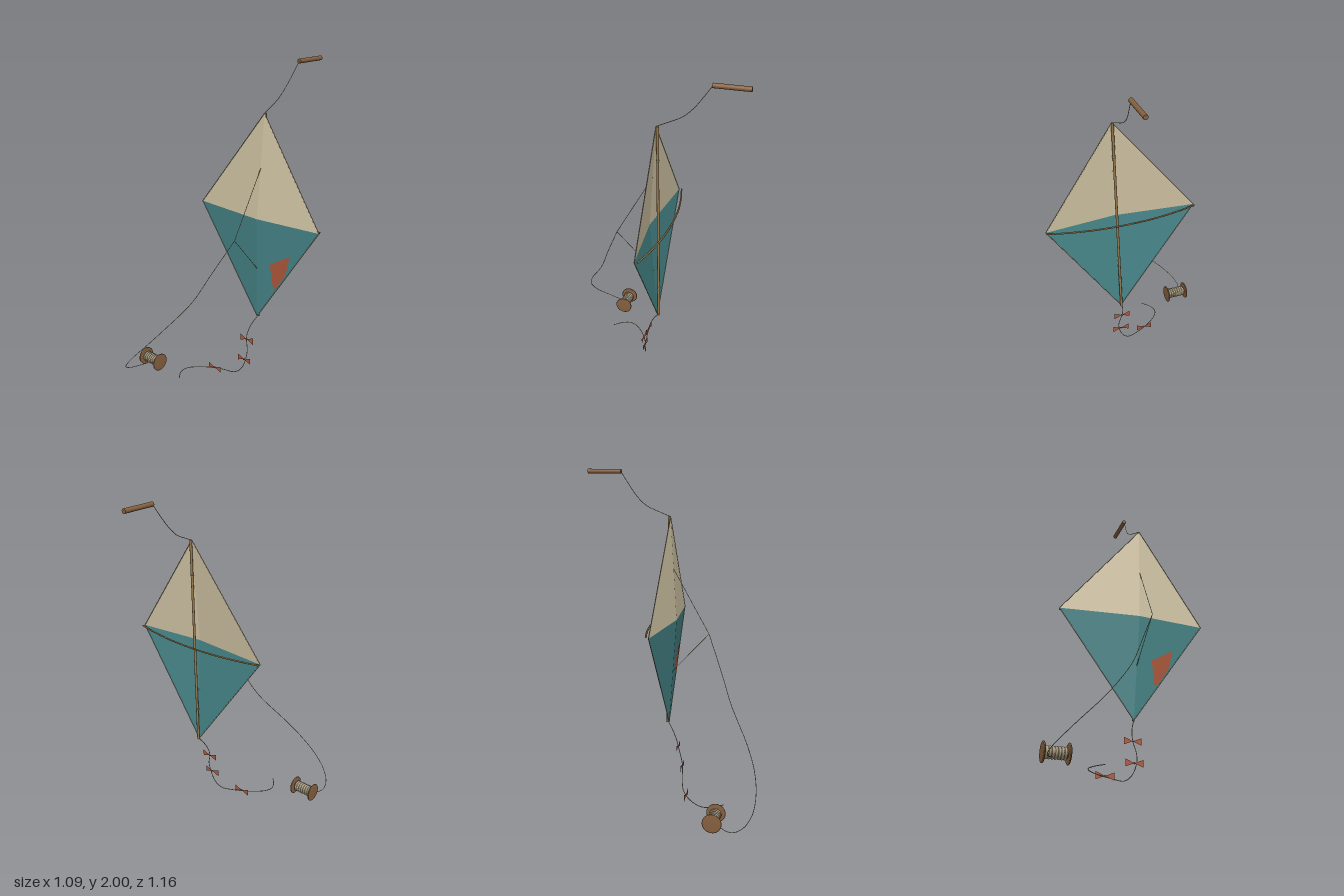
import * as THREE from 'three';

const V = (x, y, z) => new THREE.Vector3(x, y, z);
const mat = (name, color, side = THREE.FrontSide) => {
  const m = new THREE.MeshStandardMaterial({ color, side });
  m.name = name;
  return m;
};

export function createModel() {
  const kite = new THREE.Group();
  kite.name = 'kite';

  const cream = mat('cream cloth', 0xd2c5a5, THREE.DoubleSide);
  const teal = mat('teal cloth', 0x478689, THREE.DoubleSide);
  const red = mat('rust cloth', 0xb0593c, THREE.DoubleSide);
  const wood = mat('light wood', 0x94764c);
  const darkWood = mat('brown wood', 0x86603f);
  const string = mat('string', 0xa89c80);

  const add = (name, geo, material, parent = kite) => {
    const mesh = new THREE.Mesh(geo, material);
    mesh.name = name;
    parent.add(mesh);
    return mesh;
  };
  // flat polygon fan from a list of points
  const fan = (pts) => {
    const tri = [];
    for (let i = 1; i < pts.length - 1; i++) tri.push(pts[0], pts[i], pts[i + 1]);
    const g = new THREE.BufferGeometry().setFromPoints(tri);
    g.computeVertexNormals();
    return g;
  };
  // smooth cord through points
  const cord = (name, pts, r = 0.002, material = string) => {
    const curve = new THREE.CatmullRomCurve3(pts.map((p) => V(...p)), false, 'centripetal');
    return add(name, new THREE.TubeGeometry(curve, pts.length * 10, r, 6), material);
  };
  // straight round rod between two points
  const rod = (name, a, b, r, material, sides = 12) => {
    const dir = b.clone().sub(a);
    const m = add(name, new THREE.CylinderGeometry(r, r, dir.length(), sides), material);
    m.position.copy(a).add(b).multiplyScalar(0.5);
    m.quaternion.setFromUnitVectors(V(0, 1, 0), dir.normalize());
    return m;
  };

  // sail: four panels meeting at a raised centre
  const top = V(0.13, 1.72, -0.058), bottom = V(0.085, 0.41, -0.058);
  const right = V(-0.39, 1.08, -0.06), left = V(0.545, 1.08, -0.06);
  const centre = V(0.112, 1.08, -0.016);
  add('upperSailRight', fan([centre, top, right]), cream);
  add('upperSailLeft', fan([centre, left, top]), cream);
  add('lowerSailRight', fan([centre, right, bottom]), teal);
  add('lowerSailLeft', fan([centre, bottom, left]), teal);

  // edge cord around the sail
  const corners = [top, left, bottom, right];
  corners.forEach((c, i) => rod('sailEdge', c, corners[(i + 1) % 4], 0.0025, string, 6));

  // patch lying on the lower left panel
  const plane = new THREE.Plane().setFromCoplanarPoints(centre, bottom, left);
  const patch = [[0.198, 0.8], [0.217, 0.645], [0.236, 0.645], [0.313, 0.762], [0.343, 0.887]];
  add('patch', fan(patch.map(([x, y]) =>
    V(x, y, -(plane.constant + plane.normal.x * x + plane.normal.y * y) / plane.normal.z + 0.003))), red);

  // spine with lashings
  const spineTop = V(0.13, 1.72, -0.067), spineBottom = V(0.085, 0.41, -0.067);
  const spine = rod('spine', spineBottom, spineTop, 0.008, wood);
  for (const h of [-0.44, 0.445]) {
    for (const d of [-0.004, 0, 0.004]) {
      const ring = add('lashing', new THREE.TorusGeometry(0.0085, 0.002, 6, 16), string, spine);
      ring.rotation.x = Math.PI / 2;
      ring.position.y = h + d;
    }
  }

  // bowed cross spar behind the sail
  cord('crossSpar', [[-0.39, 1.08, -0.076], [-0.27, 1.08, -0.105], [-0.1, 1.08, -0.132], [0.078, 1.08, -0.14],
    [0.255, 1.08, -0.132], [0.425, 1.08, -0.105], [0.545, 1.08, -0.076]], 0.0055, wood);

  // leader and handle above the kite
  cord('leader', [[0.13, 1.72, -0.06], [0.122, 1.745, -0.12], [0.112, 1.785, -0.205],
    [0.113, 1.84, -0.265], [0.123, 1.92, -0.325], [0.13, 1.985, -0.37]]);
  rod('handle', V(0.13, 1.986, -0.368), V(0.13, 1.986, -0.58), 0.014, darkWood, 20);

  // bridle and flying line
  const knot = V(0.12, 1.0, 0.19);
  rod('upperBridle', V(0.124, 1.4, -0.038), knot, 0.0018, string, 6);
  rod('lowerBridle', V(0.098, 0.75, -0.038), knot, 0.0018, string, 6);
  cord('flyingLine', [[0.12, 1.0, 0.19], [0.02, 0.785, 0.29], [-0.065, 0.605, 0.37], [-0.2, 0.415, 0.49],
    [-0.3, 0.295, 0.55], [-0.4, 0.19, 0.575], [-0.48, 0.105, 0.565], [-0.53, 0.05, 0.525],
    [-0.545, 0.022, 0.47], [-0.53, 0.02, 0.42], [-0.5, 0.03, 0.375]]);

  // tail cord trailing to the ground
  cord('tail', [[0.085, 0.41, -0.06], [0.062, 0.35, -0.022], [0.053, 0.29, 0.003], [0.057, 0.25, 0.011],
    [0.072, 0.19, 0.021], [0.068, 0.13, 0.034], [0.04, 0.06, 0.04], [-0.01, 0.018, 0.053],
    [-0.1, 0.018, 0.085], [-0.2, 0.02, 0.145], [-0.262, 0.02, 0.21], [-0.275, 0.02, 0.255],
    [-0.26, 0.02, 0.3], [-0.215, 0.02, 0.355]], 0.0024);

  // bows on the tail
  for (const [x, y, z] of [[0.055, 0.262, 0.009], [0.055, 0.128, 0.035], [-0.14, 0.024, 0.106]]) {
    const bow = new THREE.Group();
    bow.name = 'tailBow';
    bow.position.set(x, y, z);
    for (const s of [-1, 1]) {
      add('bowWing', fan([V(0, 0, 0), V(s * 0.053, -s * 0.022, 0), V(s * 0.053, s * 0.022, 0)]), red, bow);
    }
    add('bowKnot', new THREE.SphereGeometry(0.006, 10, 8), red, bow);
    kite.add(bow);
  }

  // reel lying on its side, axis along x
  const reel = new THREE.Group();
  reel.name = 'reel';
  reel.position.set(-0.475, 0.06, 0.345);
  reel.rotation.z = Math.PI / 2;
  kite.add(reel);
  add('reelCore', new THREE.CylinderGeometry(0.022, 0.022, 0.14, 20), darkWood, reel);
  const rim = [[0, -0.005], [0.053, -0.005], [0.057, -0.002], [0.057, 0.002], [0.053, 0.005], [0, 0.005]];
  for (const s of [-1, 1]) {
    add('reelFlange', new THREE.LatheGeometry(rim.map((p) => new THREE.Vector2(...p)), 32), darkWood, reel)
      .position.y = s * 0.068;
  }
  add('woundString', new THREE.CylinderGeometry(0.03, 0.03, 0.112, 20), string, reel);
  for (let i = 0; i < 7; i++) {
    const turn = add('stringTurn', new THREE.TorusGeometry(0.028, 0.0075, 8, 24), string, reel);
    turn.rotation.x = Math.PI / 2;
    turn.position.y = (i - 3) * 0.0165;
  }
  return kite;
}
